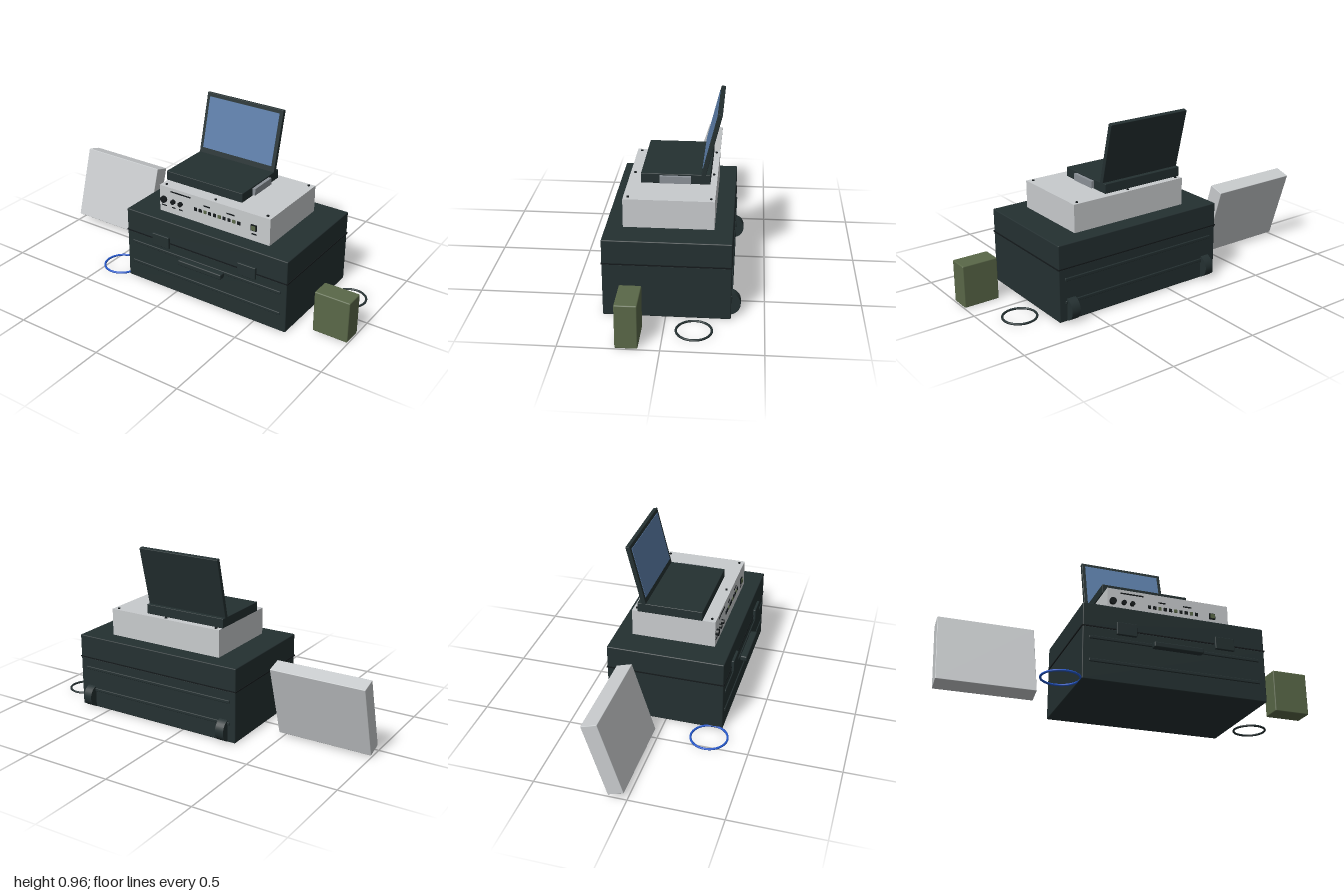
import * as THREE from 'three';
import { RoundedBoxGeometry } from 'three/addons/geometries/RoundedBoxGeometry.js';

const paint = (name, color) => Object.assign(new THREE.MeshStandardMaterial({ color }), { name });

export function createModel() {
  const dark = paint('charcoal shell', 0x243031);
  const black = paint('black fittings', 0x14191b);
  const pale = paint('pale grey metal', 0xc8cbcd);
  const grey = paint('mid grey plastic', 0x8b9197);
  const blue = paint('screen blue', 0x5b7da8);
  const cable = paint('cable blue', 0x2458cc);
  const olive = paint('olive green', 0x5a6848);

  const model = new THREE.Group();
  model.name = 'fieldKit';

  const add = (parent, name, geo, mat, x, y, z) => {
    const mesh = new THREE.Mesh(geo, mat);
    mesh.name = name;
    mesh.position.set(x, y, z);
    parent.add(mesh);
    return mesh;
  };
  const group = (name, x = 0, y = 0, z = 0) => {
    const g = new THREE.Group();
    g.name = name;
    g.position.set(x, y, z);
    model.add(g);
    return g;
  };
  const box = (w, h, d) => new THREE.BoxGeometry(w, h, d);
  const soft = (w, h, d, r) => new RoundedBoxGeometry(w, h, d, 2, r);

  // Transport case: body and lid meeting at a slim seam band
  const chest = group('transportCase', 0.18, 0, -0.005);
  add(chest, 'caseBody', soft(1.02, 0.29, 0.65, 0.005), dark, 0, 0.145, 0);
  add(chest, 'caseLid', soft(1.02, 0.13, 0.65, 0.005), dark, 0, 0.355, 0);
  add(chest, 'caseSeam', box(1.028, 0.006, 0.656), black, 0, 0.291, 0);
  for (const side of [1, -1])
    for (const y of [0.105, 0.23])
      add(chest, 'caseRib', soft(0.95, 0.018, 0.012, 0.004), dark, 0, y, side * 0.325);

  // Latches, carry handle and rear wheels
  for (const s of [-1, 1]) {
    add(chest, 'latch', soft(0.11, 0.07, 0.016, 0.004), dark, s * 0.275, 0.295, 0.332);
    const wheel = add(chest, 'wheel', new THREE.CylinderGeometry(0.063, 0.063, 0.05, 32), dark, s * 0.44, 0.064, -0.31);
    wheel.rotation.z = Math.PI / 2;
    add(chest, 'handleMount', box(0.025, 0.02, 0.03), dark, s * 0.11, 0.222, 0.333);
  }
  add(chest, 'carryHandle', soft(0.275, 0.03, 0.038, 0.006), dark, 0, 0.222, 0.351);

  // Instrument unit on top of the case
  const unit = group('instrumentUnit');
  add(unit, 'instrumentHousing', box(0.7, 0.153, 0.465), pale, 0.18, 0.4965, -0.0025);
  for (const x of [-0.14, 0.18, 0.5])
    for (const z of [0.205, -0.215])
      add(unit, 'screw', new THREE.CylinderGeometry(0.007, 0.007, 0.006, 12), black, x, 0.575, z);
  for (const [x, r] of [[-0.14, 0.019], [-0.078, 0.013], [-0.03, 0.013]]) {
    const knob = add(unit, 'knob', new THREE.CylinderGeometry(r, r, 0.016, 24), black, x, 0.496, 0.237);
    knob.rotation.x = Math.PI / 2;
    add(unit, 'knobMark', box(r * 1.6, 0.006, 0.003), black, x, 0.459, 0.231);
  }
  for (let i = 0; i < 10; i++)
    add(unit, 'socket', box(0.017, 0.018, 0.006), i % 3 === 2 ? olive : black, 0.068 + i * 0.0305, 0.495, 0.232);
  add(unit, 'switchFrame', box(0.034, 0.034, 0.008), black, 0.435, 0.497, 0.233);
  add(unit, 'powerSwitch', box(0.024, 0.024, 0.014), olive, 0.435, 0.497, 0.235);

  // Printed marker strips
  for (const [x, y, w] of [[-0.03, 0.552, 0.13], [0.14, 0.53, 0.04], [0.29, 0.53, 0.05], [0.435, 0.459, 0.03]])
    add(unit, 'markerStrip', box(w, 0.007, 0.003), black, x, y, 0.231);

  // Laptop base with side module, and a lid leaning back
  const laptop = group('laptop', 0.07, 0.573, 0);
  add(laptop, 'laptopBase', soft(0.49, 0.053, 0.362, 0.003), dark, 0, 0.0275, -0.021);
  add(laptop, 'sideModule', box(0.022, 0.038, 0.164), grey, 0.252, 0.027, -0.02);
  const lid = new THREE.Group();
  lid.name = 'laptopLid';
  lid.position.set(0, 0.045, -0.164);
  lid.rotation.x = -0.243;
  laptop.add(lid);
  add(lid, 'lidShell', soft(0.49, 0.35, 0.024, 0.003), dark, 0, 0.175, 0);
  add(lid, 'screen', box(0.45, 0.292, 0.004), blue, 0, 0.182, 0.0125);

  // Leaning flat panel
  const panel = add(model, 'flatPanel', soft(0.53, 0.42, 0.089, 0.003), pale, -0.735, 0.225, -0.12);
  panel.rotation.x = -0.297;

  // Battery pack
  add(model, 'batteryPack', soft(0.2, 0.235, 0.112, 0.006), olive, 0.895, 0.1175, 0.163);

  // Coiled cables lying on the floor
  const ring = (name, mat, r, x, z) => {
    const coil = add(model, name, new THREE.TorusGeometry(r, 0.006, 10, 64), mat, x, 0.008, z);
    coil.rotation.x = Math.PI / 2;
  };
  ring('blueCable', cable, 0.1, -0.425, 0.27);
  ring('blackCable', dark, 0.089, 0.82, -0.152);

  return model;
}
